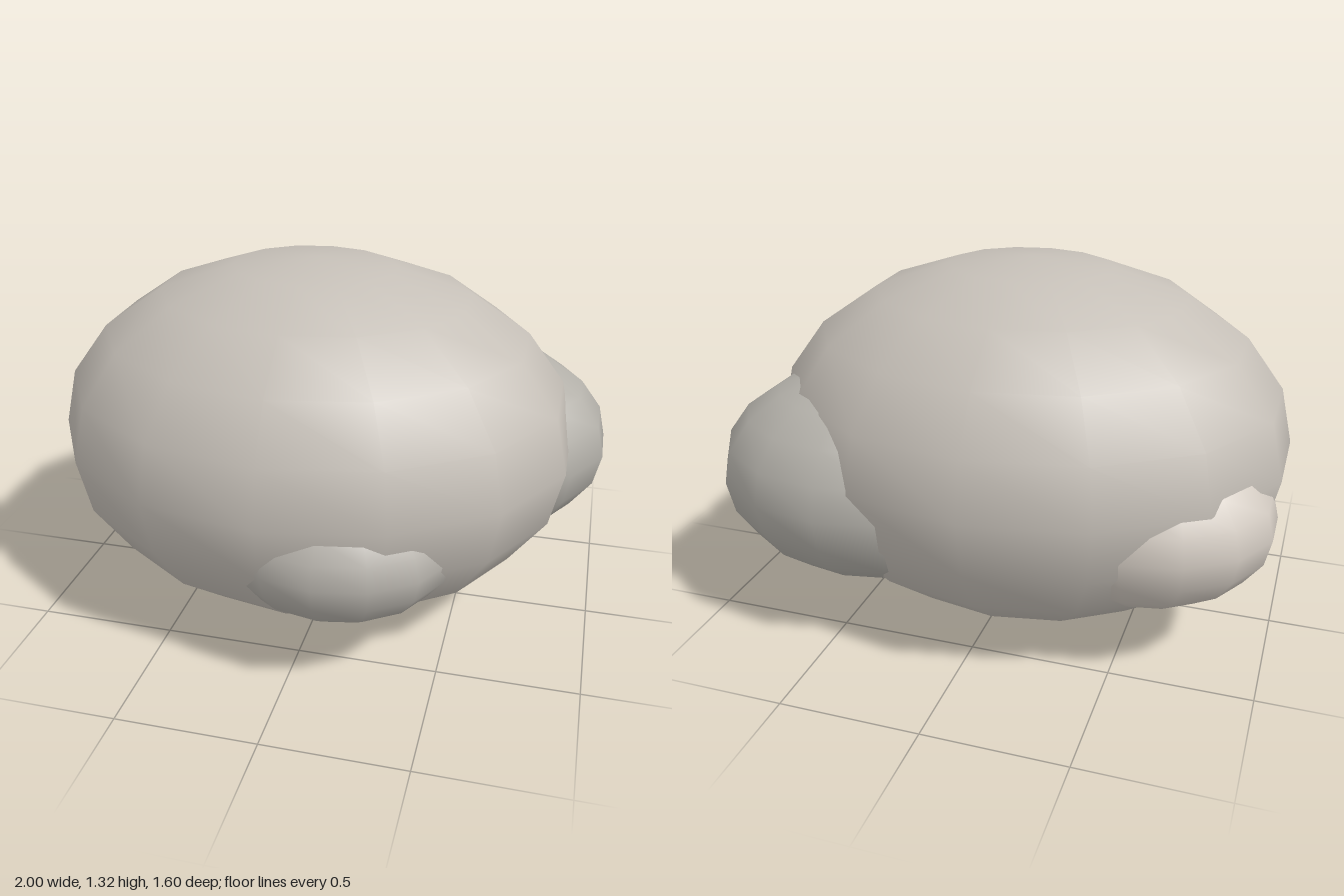
import * as THREE from 'three';

// One boulder: a coarse smooth sphere stretched to its radii, with a column of vertices on the z axis
function boulder(name, color, [x, y, z], [rx, ry, rz]) {
  const geometry = new THREE.SphereGeometry(1, 14, 10);
  geometry.rotateY(Math.PI / 2);
  geometry.scale(rx, ry, rz);
  const mesh = new THREE.Mesh(geometry, new THREE.MeshStandardMaterial({ color }));
  mesh.name = name;
  mesh.position.set(x, y, z);
  return mesh;
}

export function createModel() {
  const group = new THREE.Group();
  group.name = 'boulderCluster';
  group.add(
    // Large central rock
    boulder('mainBoulder', 0xc6c0b8, [-0.063, 0.665, -0.005], [0.96, 0.662, 0.795]),
    // Smaller rocks sunk into its flanks
    boulder('leftBoulder', 0xb4b1aa, [0.46, 0.567, -0.3], [0.553, 0.382, 0.462]),
    boulder('frontBoulder', 0xb6b2ab, [0.125, 0.478, 0.443], [0.42, 0.268, 0.358]),
    boulder('rightBoulder', 0xd2cac1, [-0.55, 0.52, -0.245], [0.46, 0.31, 0.396])
  );
  return group;
}
